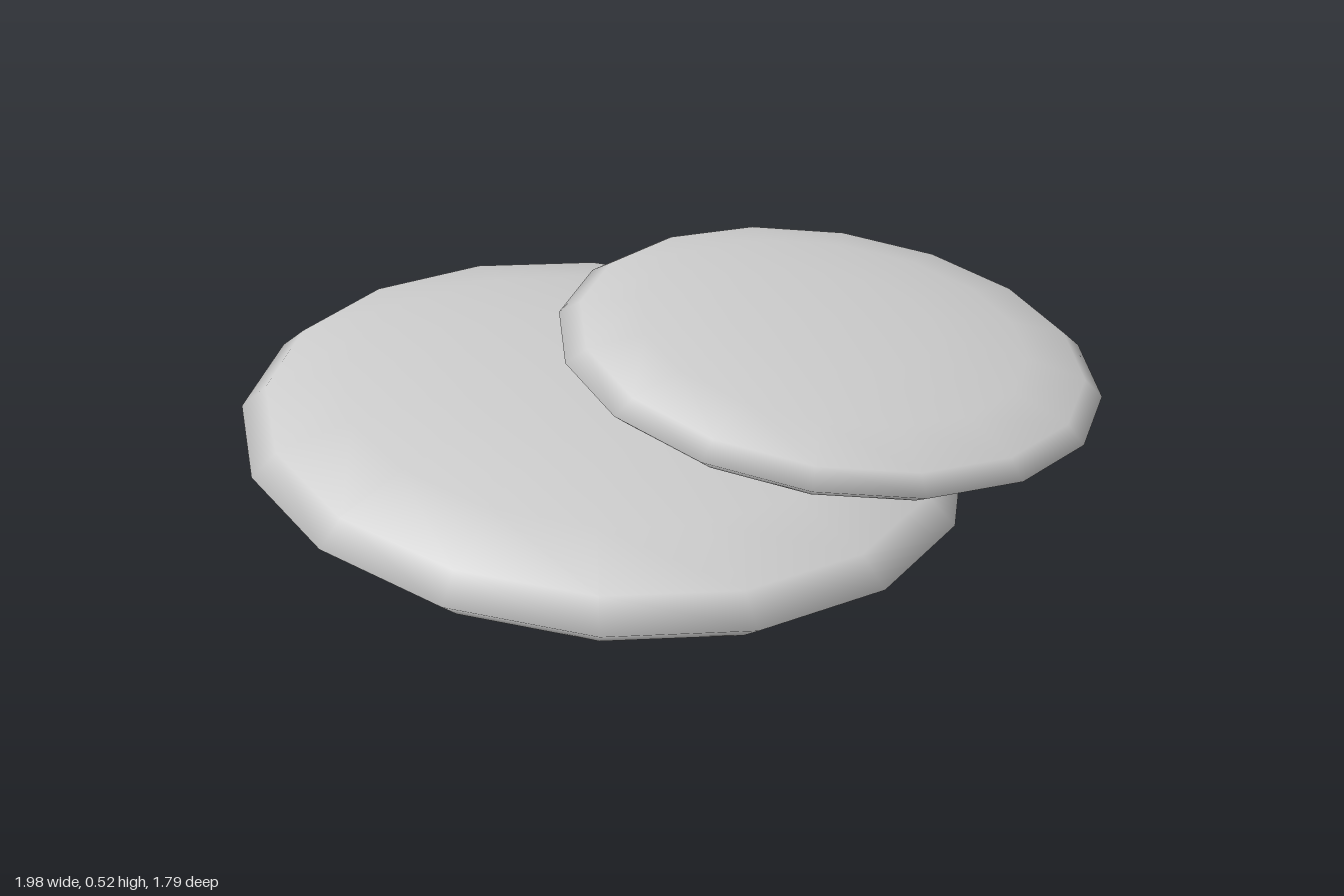
import * as THREE from 'three';

const material = new THREE.MeshStandardMaterial({ color: 0xcccccc });

// A flattened, smooth-shaded pebble: radii along its own axes, yaw first, then tilt
function stone(name, radii, position, [tiltX, yaw, tiltZ]) {
  const geometry = new THREE.SphereGeometry(1, 16, 8);
  geometry.scale(...radii);
  const mesh = new THREE.Mesh(geometry, material);
  mesh.name = name;
  mesh.position.set(...position);
  mesh.rotation.set(tiltX, yaw, tiltZ, 'ZXY');
  return mesh;
}

export function createModel() {
  const group = new THREE.Group();
  group.name = 'stackedStones';
  // Large stone lying flat
  group.add(stone('lowerStone', [0.954, 0.17, 0.78], [-0.06, 0.172, 0.097], [0, 0.303, 0]));
  // Smaller stone leaning on its back left
  group.add(stone('upperStone', [0.687, 0.113, 0.525], [0.355, 0.383, -0.317], [0.02, 0.6, -0.13]));
  return group;
}
